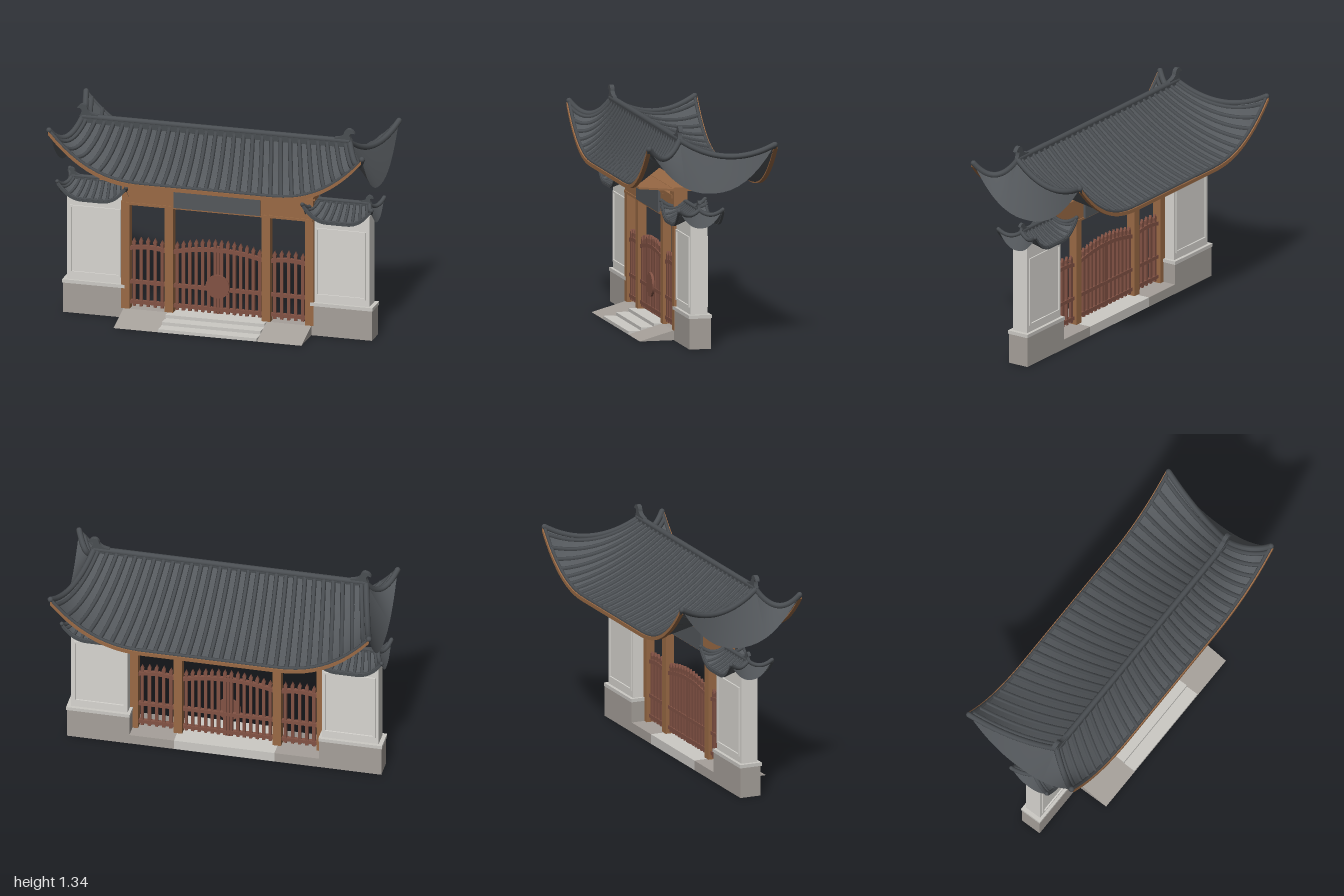
import * as THREE from 'three';
import { ParametricGeometry } from 'three/addons/geometries/ParametricGeometry.js';

const mat = (name, color, side = THREE.FrontSide) => {
  const m = new THREE.MeshStandardMaterial({ color, side });
  m.name = name;
  return m;
};

export function createModel() {
  const M = {
    tile: mat('dark tile', 0x4a4e52, THREE.DoubleSide),
    slate: mat('slate', 0x54585c, THREE.DoubleSide),
    wood: mat('brown wood', 0x9a6a45, THREE.DoubleSide),
    gate: mat('red brown wood', 0x825244),
    plaster: mat('pale plaster', 0xd8d6d1),
    stone: mat('grey stone', 0xa6a09a),
    step: mat('light stone', 0xcccac5),
  };
  const model = new THREE.Group();
  model.name = 'gateway';

  const add = (parent, name, geo, material) => {
    const m = new THREE.Mesh(geo, material);
    m.name = name;
    parent.add(m);
    return m;
  };
  // Box given by its limits on each axis
  const box = (parent, name, material, x0, x1, y0, y1, z0, z1) => {
    const m = add(parent, name, new THREE.BoxGeometry(x1 - x0, y1 - y0, z1 - z0), material);
    m.position.set((x0 + x1) / 2, (y0 + y1) / 2, (z0 + z1) / 2);
    return m;
  };
  const sample = (fn, n) => Array.from({ length: n + 1 }, (_, i) => fn(i / n));
  const tube = (parent, name, material, fn, n, r, sides = 6) => add(parent, name,
    new THREE.TubeGeometry(new THREE.CatmullRomCurve3(sample(fn, n)), n * 2, r, sides), material);
  const sheet = (parent, name, material, fn, nu, nv) => add(parent, name,
    new ParametricGeometry((u, v, p) => p.copy(fn(u, v)), nu, nv), material);
  const V = (x, y, z) => new THREE.Vector3(x, y, z);

  // Swept roof: two concave slopes, upturned corners, plain side faces
  function roof(name, o) {
    const g = new THREE.Group();
    g.name = name;
    const mid = t => o.yr - o.drop * (t + 0.5 * t * (1 - t));
    const hip = t => o.yr - o.tip * t - 4 * o.sag * t * (1 - t);
    const point = (s, t, ze) => {
      const k = Math.max(0, (Math.abs(s) - o.flat) / (1 - o.flat)) ** 2.4;
      return V(s * (o.hx + (o.ex - o.hx) * t), mid(t) + (hip(t) - mid(t)) * k, o.zr + (ze - o.zr) * t);
    };
    const zc = (o.zf + o.zb) / 2, half = (o.zf - o.zb) / 2;
    for (const ze of [o.zf, o.zb]) {
      const d = Math.sign(ze - o.zr);
      sheet(g, 'roofSlope', M.slate, (u, v) => point(u * 2 - 1, v, ze), 40, 10);
      // Smooth underside, clear of the tile rows
      sheet(g, 'roofUnderside', M.slate, (u, v) =>
        point((u * 2 - 1) * 0.995, v, ze).add(V(0, -o.r * 1.3, -d * o.r * 0.7)), 40, 10);
      for (let i = 0; i < o.rows; i++) {
        const s = ((i + 0.5) / o.rows) * 2 - 1;
        tube(g, 'tileRow', M.tile, t => point(s, t, ze), 6, o.r);
        const cap = add(g, 'tileEnd', new THREE.CircleGeometry(o.r, 6), M.tile);
        cap.position.copy(point(s, 1, ze));
        cap.position.z += d * 0.002;
      }
      // Board along the eave, with a dark lip above it
      const ring = [[-0.5, 0], [1, 0], [1, -1], [-0.5, -1], [-0.5, 0]];
      const board = sheet(g, 'eaveBoard', o.board, (u, v) => {
        const [a, b] = ring[Math.round(v * 4)];
        return point(u * 2 - 1, 1, ze).add(V(0, (b - 0.15) * o.boardH, d * a * o.boardH * 0.75));
      }, 40, 4);
      board.geometry = board.geometry.toNonIndexed();
      board.geometry.computeVertexNormals();
      tube(g, 'eaveLip', M.tile, t => point(t * 2 - 1, 1, ze), 24, o.r * 0.8);
      for (const s of [-1, 1]) {
        tube(g, 'hipRidge', M.tile, t => point(s, t, ze), 8, o.r * 1.3, 8);
        add(g, 'hipEnd', new THREE.SphereGeometry(o.r * 1.3, 8, 6), M.tile).position.copy(point(s, 1, ze));
        // Side face hanging between the hip and a sagging lower edge
        sheet(g, 'sideFace', M.slate, (u, v) => {
          const h = point(s, u, ze);
          const q = Math.abs((h.z - zc) / half) ** 2.3;
          const low = V(s * o.ex, o.low + (o.yr - o.tip - o.low) * q, h.z);
          return h.lerp(low, v);
        }, 12, 5);
      }
    }
    // Ridge with a rounded top
    const rh = o.r * 1.2;
    box(g, 'ridgeBase', M.tile, -o.hx, o.hx, o.yr - rh * 2, o.yr + rh * 0.6, o.zr - rh, o.zr + rh);
    const top = add(g, 'ridgeTop', new THREE.CylinderGeometry(rh * 1.1, rh * 1.1, o.hx * 2, 10), M.tile);
    top.rotation.z = Math.PI / 2;
    top.position.set(0, o.yr + rh * 0.4, o.zr);
    return g;
  }

  // Curled ridge finial, hooked towards +x
  function finial(parent, x, y, z, scale, dir) {
    const s = new THREE.Shape();
    s.moveTo(-0.06, 0);
    s.lineTo(-0.055, 0.014);
    s.quadraticCurveTo(-0.01, 0.018, 0.004, 0.04);
    s.quadraticCurveTo(0.01, 0.078, 0.04, 0.075);
    s.quadraticCurveTo(0.062, 0.07, 0.072, 0.046);
    s.quadraticCurveTo(0.048, 0.054, 0.042, 0.038);
    s.quadraticCurveTo(0.042, 0.02, 0.055, 0);
    const geo = new THREE.ExtrudeGeometry(s, { depth: 0.026, bevelEnabled: false, curveSegments: 5 });
    geo.translate(0, 0, -0.013);
    const m = add(parent, 'ridgeFinial', geo, M.tile);
    m.scale.setScalar(scale);
    m.position.set(x, y, z);
    if (dir < 0) m.rotation.y = Math.PI;
  }

  const main = roof('mainRoof', {
    hx: 0.84, ex: 0.983, zr: 0.165, zf: 0.39, zb: -0.39, yr: 1.255, drop: 0.31, tip: 0.025,
    sag: 0.085, flat: 0.4, low: 0.947, rows: 29, r: 0.014, board: M.wood, boardH: 0.023,
  });
  model.add(main);
  for (const d of [-1, 1]) finial(main, d * 0.8, 1.267, 0.165, 1, d);

  // Sloping soffit under the front eave
  const soffit = box(model, 'soffit', M.wood, -0.67, 0.67, 0.931, 0.943, 0.155, 0.375);
  soffit.rotation.x = -0.09;

  // Lintel, bracket layers and central panel
  box(model, 'lintel', M.wood, -0.6, 0.6, 0.73, 0.86, 0.08, 0.14);
  box(model, 'lintelMoulding', M.wood, -0.6, 0.6, 0.72, 0.735, 0.075, 0.146);
  box(model, 'lowerBracketBeam', M.wood, -0.58, 0.58, 0.862, 0.884, 0.055, 0.15);
  box(model, 'upperBracketBeam', M.wood, -0.63, 0.63, 0.912, 0.935, 0.04, 0.16);
  for (const x of [-0.57, -0.3, 0.3, 0.57])
    box(model, 'bracketBlock', M.wood, x - 0.045, x + 0.045, 0.855, 0.915, 0.06, 0.145);
  box(model, 'centrePanel', M.slate, -0.272, 0.272, 0.73, 0.925, 0.062, 0.155);

  // Flanking walls, each with its own small roof
  for (const d of [-1, 1]) {
    const side = new THREE.Group();
    side.name = d > 0 ? 'leftWall' : 'rightWall';
    model.add(side);
    const sbox = (name, m, a, b, ...rest) => box(side, name, m, Math.min(a * d, b * d), Math.max(a * d, b * d), ...rest);
    sbox('wallBase', M.stone, 0.585, 0.97, 0, 0.187, 0.004, 0.138);
    sbox('wallBaseCap', M.step, 0.582, 0.975, 0.187, 0.208, 0, 0.143);
    sbox('wallBody', M.plaster, 0.6, 0.95, 0.208, 0.78, 0.02, 0.125);
    for (const z of [0.0155, 0.1295]) {
      const frame = (n, a, b, y0, y1) => sbox(n, M.plaster, a, b, y0, y1, z - 0.0045, z + 0.0045);
      frame('frameTop', 0.612, 0.93, 0.668, 0.68);
      frame('frameBottom', 0.612, 0.93, 0.25, 0.262);
      frame('frameInner', 0.612, 0.624, 0.262, 0.668);
      frame('frameOuter', 0.918, 0.93, 0.262, 0.668);
    }
    const small = roof('wallRoof', {
      hx: 0.165, ex: 0.217, zr: 0.07, zf: 0.205, zb: -0.065, yr: 0.842, drop: 0.09, tip: -0.005,
      sag: 0.03, flat: 0.25, low: 0.738, rows: 9, r: 0.01, board: M.tile, boardH: 0.014,
    });
    small.position.x = d * 0.77;
    side.add(small);
    finial(small, d * 0.14, 0.847, 0.07, 0.7, d);

    // Columns
    for (const x of [0.305, 0.578]) sbox('column', M.wood, x - 0.027, x + 0.027, 0.06, 0.74, 0.088, 0.141);

    // Platform wing and ramp
    sbox('platformWing', M.stone, 0.31, 0.59, 0, 0.06, 0.004, 0.14);
    const wedge = new THREE.Shape([new THREE.Vector2(-0.14, 0), new THREE.Vector2(-0.14, 0.06), new THREE.Vector2(-0.35, 0)]);
    const ramp = add(side, 'ramp', new THREE.ExtrudeGeometry(wedge, { depth: 0.28, bevelEnabled: false }), M.stone);
    ramp.rotation.y = Math.PI / 2;
    ramp.position.x = d > 0 ? 0.31 : -0.59;
  }

  // Central platform and steps
  box(model, 'platform', M.step, -0.31, 0.31, 0, 0.06, 0.004, 0.19);
  box(model, 'middleStep', M.step, -0.31, 0.31, 0, 0.04, 0.19, 0.27);
  box(model, 'bottomStep', M.step, -0.31, 0.31, 0, 0.02, 0.27, 0.35);

  // Picket fence panel with an arched top rail
  function fence(name, x0, x1, count, arch) {
    const g = new THREE.Group();
    g.name = name;
    model.add(g);
    const c = (x0 + x1) / 2, h = (x1 - x0) / 2;
    const rise = x => arch * Math.max(0, 1 - ((x - c) / h) ** 2);
    for (let i = 0; i < count; i++) {
      const x = x0 + ((i + 0.5) / count) * (x1 - x0);
      const y = 0.475 + rise(x), w = 0.0095;
      const s = new THREE.Shape([[-w, 0.075], [w, 0.075], [w, y - 0.02], [w * 1.2, y], [0, y + 0.025], [-w * 1.2, y], [-w, y - 0.02]]
        .map(p => new THREE.Vector2(...p)));
      add(g, 'picket', new THREE.ExtrudeGeometry(s, { depth: 0.016, bevelEnabled: false }), M.gate).position.set(x, 0, 0.107);
    }
    for (const y of [0.09, 0.217]) box(g, 'rail', M.gate, x0, x1, y, y + 0.022, 0.103, 0.127);
    const up = sample(t => x0 + (x1 - x0) * t, 16).map(x => new THREE.Vector2(x, 0.452 + rise(x) * 0.85));
    const down = up.map(p => new THREE.Vector2(p.x, p.y - 0.024)).reverse();
    add(g, 'archedRail', new THREE.ExtrudeGeometry(new THREE.Shape([...up, ...down]), { depth: 0.024, bevelEnabled: false }), M.gate)
      .position.z = 0.103;
  }
  fence('centreGate', -0.279, 0.279, 14, 0.042);
  fence('leftFence', 0.331, 0.552, 5, 0.015);
  fence('rightFence', -0.552, -0.331, 5, 0.015);
  box(model, 'gateStile', M.gate, -0.008, 0.008, 0.075, 0.5, 0.105, 0.125);

  // Round lock plate
  const disc = add(model, 'lockPlate', new THREE.CylinderGeometry(0.074, 0.074, 0.014, 28), M.gate);
  disc.rotation.x = Math.PI / 2;
  disc.position.set(0, 0.25, 0.134);

  return model;
}
